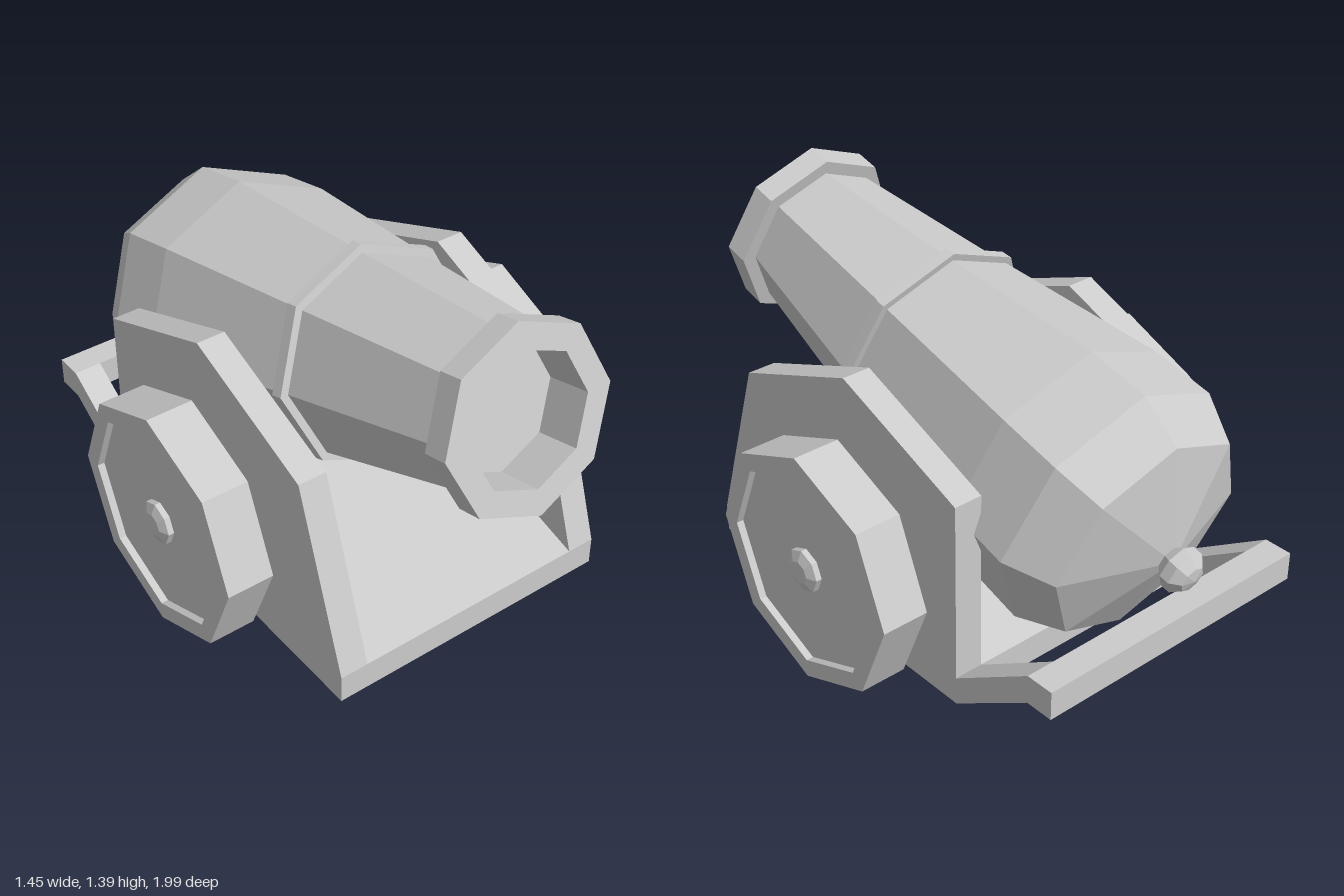
import * as THREE from 'three';

const material = new THREE.MeshStandardMaterial({
  color: 0xcccccc, flatShading: true, side: THREE.DoubleSide,
});

// Eight-sided turned part; profile is [radius, height along axis]
function turned(name, profile) {
  const points = profile.map(([r, h]) => new THREE.Vector2(r, h));
  const mesh = new THREE.Mesh(new THREE.LatheGeometry(points, 8), material);
  mesh.name = name;
  return mesh;
}

// Plate with a [z, y] outline, spanning x0..x1
function plate(name, outline, x0, x1) {
  const shape = new THREE.Shape(outline.map(([z, y]) => new THREE.Vector2(z, y)));
  const geometry = new THREE.ExtrudeGeometry(shape, { depth: x1 - x0, bevelEnabled: false });
  geometry.rotateY(-Math.PI / 2);
  geometry.translate(x1, 0, 0);
  const mesh = new THREE.Mesh(geometry, material);
  mesh.name = name;
  return mesh;
}

export function createModel() {
  const model = new THREE.Group();
  model.name = 'cannon';

  // Barrel: height 0 is the muzzle face, negative runs back to the knob
  const barrel = turned('barrel', [
    [0, -1.975], [0.045, -1.965], [0.075, -1.935], [0.075, -1.9], [0.05, -1.87],
    [0.375, -1.77], [0.452, -1.61], [0.445, -1.38],
    [0.352, -0.755], [0.377, -0.755], [0.373, -0.715], [0.345, -0.715],
    [0.262, -0.09], [0.31, -0.09], [0.31, 0],
    [0.222, 0], [0.222, -0.16], [0, -0.16],
  ]);
  barrel.rotation.x = Math.PI / 2 - THREE.MathUtils.degToRad(14.5);
  barrel.position.set(0, 1.085, 0.917);
  model.add(barrel);

  // Carriage bed, ridged over the axle
  model.add(plate('carriageBed', [
    [0.73, 0.11], [0.73, 0.21], [0, 0.42], [-0.52, 0.21], [-0.52, 0.11],
  ], -0.42, 0.42));

  const cheek = [
    [0.73, 0.11], [0.73, 0.21], [0.52, 0.84], [0, 1.045], [-0.52, 0.84], [-0.52, 0.11],
  ];
  const arm = [[-0.52, 0.11], [-0.52, 0.21], [-0.84, 0.42], [-0.84, 0.32]];
  for (const side of [1, -1]) {
    const label = side > 0 ? 'left' : 'right';
    const [x0, x1] = side > 0 ? [0.42, 0.52] : [-0.52, -0.42];
    model.add(plate(label + 'Cheek', cheek, x0, x1));
    model.add(plate(label + 'HandleArm', arm, x0, x1));

    // Wheel with recessed face and hub cap
    const wheel = turned(label + 'Wheel', [
      [0, 0.55], [0.42, 0.55], [0.42, 0.715], [0.355, 0.715], [0.355, 0.69],
      [0.075, 0.69], [0.075, 0.71], [0.04, 0.725], [0, 0.725],
    ]);
    const axle = turned(label + 'Axle', [[0.105, 0.5], [0.105, 0.56]]);
    for (const part of [wheel, axle]) {
      part.rotation.z = -side * Math.PI / 2;
      part.position.y = 0.42;
      model.add(part);
    }
  }

  // Rear handle bar
  const bar = new THREE.Mesh(new THREE.BoxGeometry(1.04, 0.1, 0.1), material);
  bar.name = 'handleBar';
  bar.position.set(0, 0.37, -0.89);
  model.add(bar);

  return model;
}
